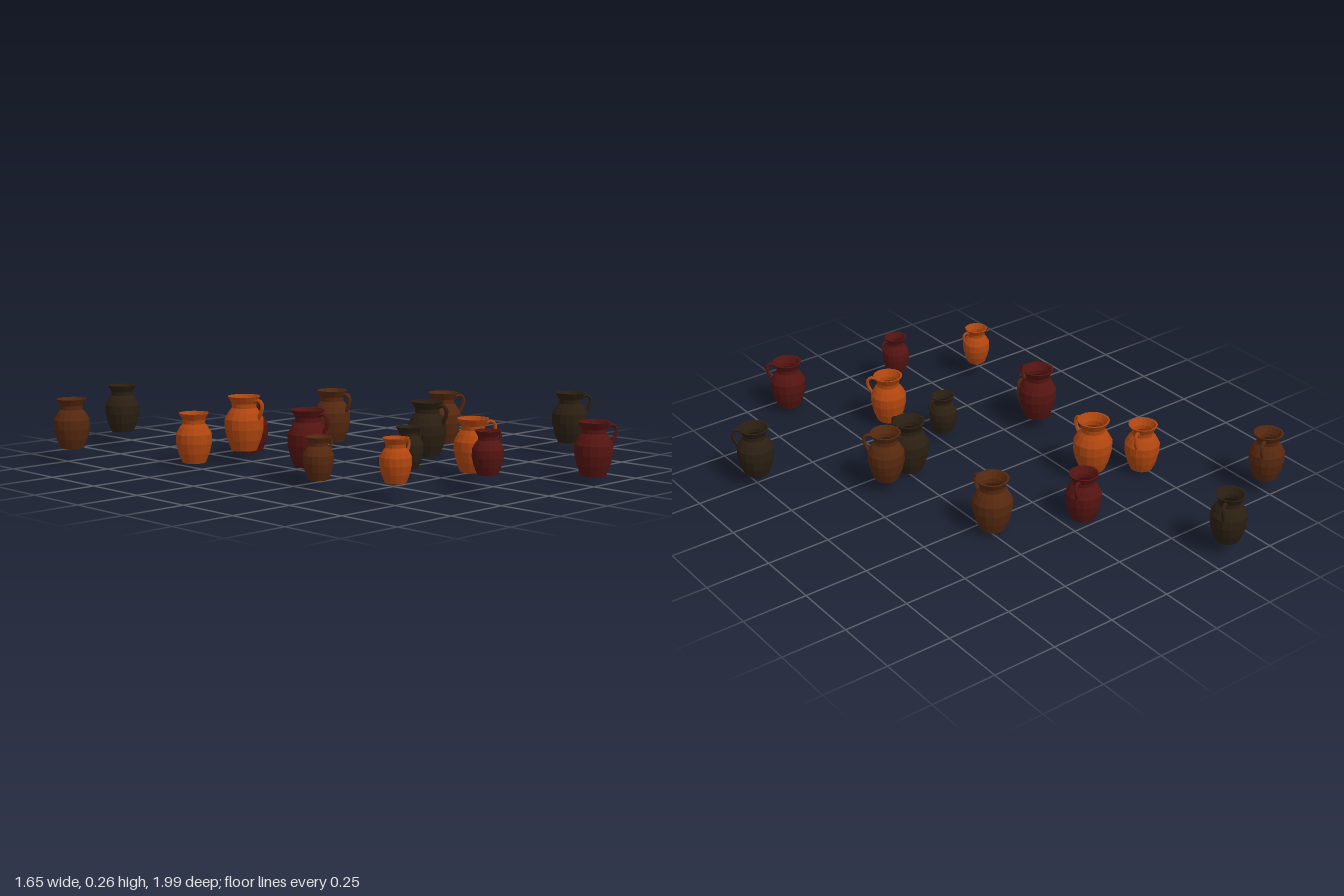
import * as THREE from 'three';

const COLORS = { orange: 0xb0460f, brown: 0x55280f, dark: 0x2b1f12, red: 0x541411 };

// Four batches of jugs, each with its own height and handle direction
const BATCHES = [
  { height: 0.188, turn: 28, jugs: [
    [-0.35, 0.06, -0.93, 'dark'], [-0.76, 0.063, -0.707, 'brown'],
    [-0.48, 0.02, -0.32, 'orange'], [-0.088, 0.004, -0.44, 'red']] },
  { height: 0.207, turn: -80, jugs: [
    [-0.29, 0.054, -0.25, 'orange'], [0.238, 0.024, -0.315, 'brown'],
    [-0.378, 0.055, 0.197, 'red'], [0.242, 0.027, 0.205, 'dark']] },
  { height: 0.195, turn: -39, jugs: [
    [0.38, 0.057, 0.16, 'brown'], [0.75, 0.054, 0.495, 'dark'],
    [0.087, 0.027, 0.575, 'orange'], [0.343, 0.025, 0.925, 'red']] },
  { height: 0.154, turn: 0, jugs: [
    [-0.425, 0.026, 0.30, 'brown'], [-0.033, 0.028, 0.367, 'dark'],
    [-0.447, 0.068, 0.70, 'orange'], [-0.125, 0.073, 0.83, 'red']] },
];

// Jug wall, one unit tall: up the outside, over the rim, down the inside
function bodyGeometry() {
  const profile = [
    [0, 0], [0.235, 0], [0.315, 0.2], [0.36, 0.4], [0.36, 0.58], [0.29, 0.71],
    [0.225, 0.79], [0.23, 0.87], [0.3, 1], [0.265, 1], [0.19, 0.87],
    [0.185, 0.79], [0.25, 0.69], [0.32, 0.56], [0.32, 0.4], [0.2, 0.06], [0, 0.06],
  ].map(([r, y]) => new THREE.Vector2(r, y));
  return new THREE.LatheGeometry(profile, 16);
}

// Strap handle from under the rim to the shoulder
function handleGeometry() {
  const path = new THREE.CatmullRomCurve3([
    [0.23, 0.9], [0.33, 0.94], [0.41, 0.89], [0.41, 0.76], [0.36, 0.65], [0.31, 0.57],
  ].map(([x, y]) => new THREE.Vector3(x, y, 0)));
  return new THREE.TubeGeometry(path, 10, 0.035, 6, false);
}

export function createModel() {
  const model = new THREE.Group();
  model.name = 'jugs';
  const body = bodyGeometry();
  const handle = handleGeometry();
  const materials = {};
  for (const [name, color] of Object.entries(COLORS)) {
    materials[name] = new THREE.MeshStandardMaterial({ color, flatShading: true });
  }

  for (const { height, turn, jugs } of BATCHES) {
    for (const [x, y, z, color] of jugs) {
      const jug = new THREE.Group();
      jug.name = `${color}Jug`;
      const jugBody = new THREE.Mesh(body, materials[color]);
      jugBody.name = 'jugBody';
      const jugHandle = new THREE.Mesh(handle, materials[color]);
      jugHandle.name = 'jugHandle';
      jug.add(jugBody, jugHandle);
      jug.position.set(x, y, z);
      jug.rotation.y = THREE.MathUtils.degToRad(turn);
      jug.scale.setScalar(height);
      model.add(jug);
    }
  }
  return model;
}
